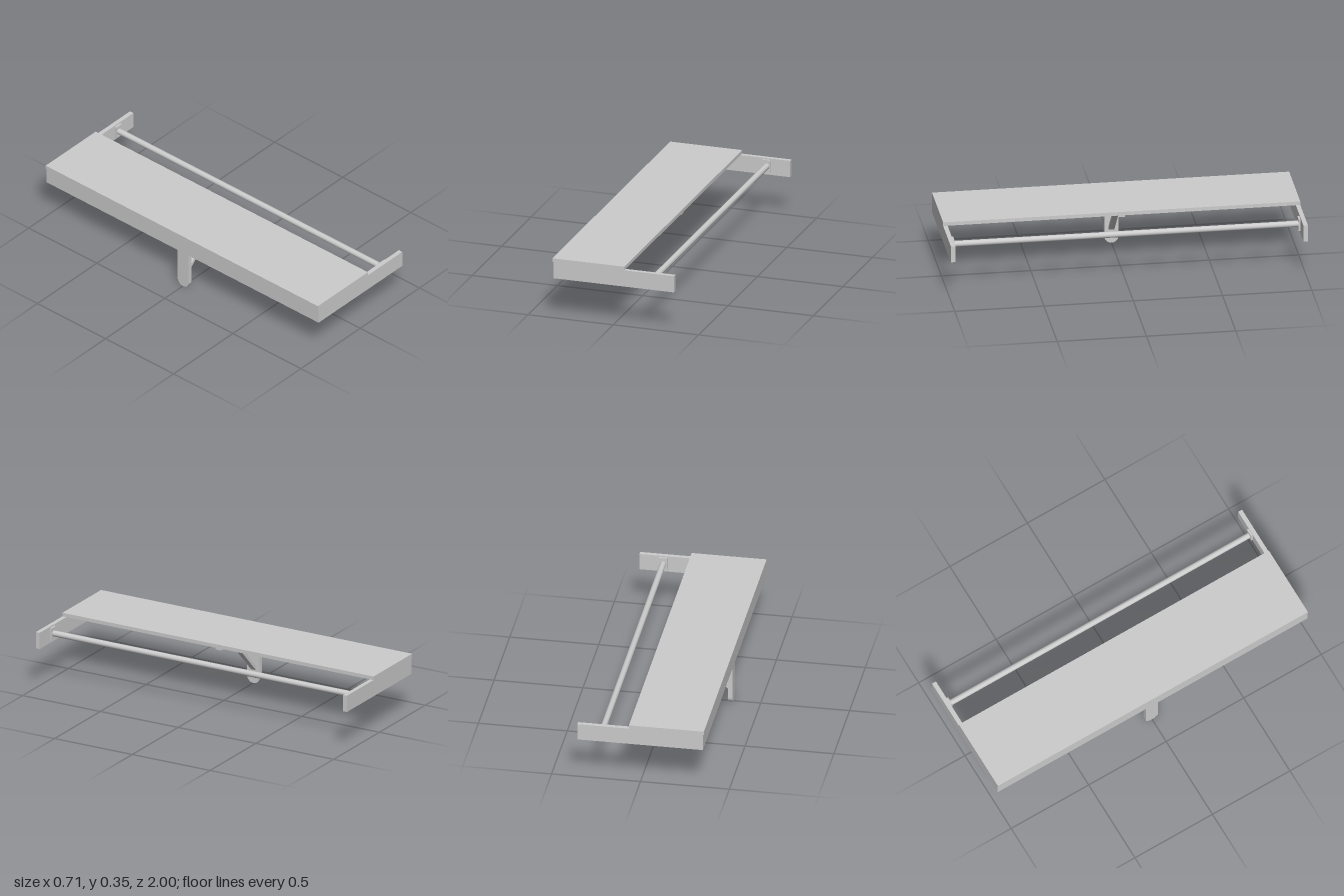
import * as THREE from 'three';

const material = new THREE.MeshStandardMaterial({ color: 0xcccccc });

function add(group, name, geometry) {
  const mesh = new THREE.Mesh(geometry, material);
  mesh.name = name;
  group.add(mesh);
  return mesh;
}

// Box given by its minimum and maximum corners
function box(group, name, [x0, y0, z0], [x1, y1, z1]) {
  const mesh = add(group, name, new THREE.BoxGeometry(x1 - x0, y1 - y0, z1 - z0));
  mesh.position.set((x0 + x1) / 2, (y0 + y1) / 2, (z0 + z1) / 2);
  return mesh;
}

export function createModel() {
  const model = new THREE.Group();
  model.name = 'wallShelf';

  // Shelf top and back rail
  box(model, 'shelfTop', [-0.357, 0.329, -1], [0.065, 0.35, 1]);
  box(model, 'backRail', [-0.351, 0.233, -0.975], [-0.326, 0.329, 0.975]);

  // End boards, each with a socket plate for the rod
  for (const s of [-1, 1]) {
    const side = s > 0 ? 'front' : 'back';
    const end = box(model, side + 'EndBoard', [-0.351, 0.233, -0.0125], [0.355, 0.329, 0.0125]);
    end.position.z = s * 0.9875;
    const socket = box(model, side + 'RodSocket', [0.197, 0.25, -0.006], [0.243, 0.321, 0.006]);
    socket.position.z = s * 0.97;
  }

  // Hanging rod
  const rod = add(model, 'hangingRod', new THREE.CylinderGeometry(0.017, 0.017, 1.94, 32));
  rod.rotation.x = Math.PI / 2;
  rod.position.set(0.22, 0.285, 0);

  // Middle bracket: upright with a rounded foot, arm under the top, diagonal brace
  const bracket = new THREE.Group();
  bracket.name = 'bracket';
  model.add(bracket);

  const r = 0.04;
  const outline = new THREE.Shape();
  outline.moveTo(r, 0.329);
  outline.lineTo(-r, 0.329);
  outline.lineTo(-r, r);
  outline.absarc(0, r, r, Math.PI, Math.PI * 2, false);
  outline.closePath();
  const upright = add(bracket, 'bracketUpright',
    new THREE.ExtrudeGeometry(outline, { depth: 0.025, bevelEnabled: false, curveSegments: 24 }));
  upright.rotation.y = Math.PI / 2;
  upright.position.x = -0.347;

  box(bracket, 'bracketArm', [-0.357, 0.317, -0.02], [0.06, 0.329, 0.02]);

  const braceShape = new THREE.Shape([
    [-0.322, 0.079], [-0.084, 0.317], [-0.108, 0.317], [-0.322, 0.103],
  ].map(([x, y]) => new THREE.Vector2(x, y)));
  const brace = add(bracket, 'bracketBrace',
    new THREE.ExtrudeGeometry(braceShape, { depth: 0.032, bevelEnabled: false }));
  brace.position.z = -0.016;

  return model;
}
